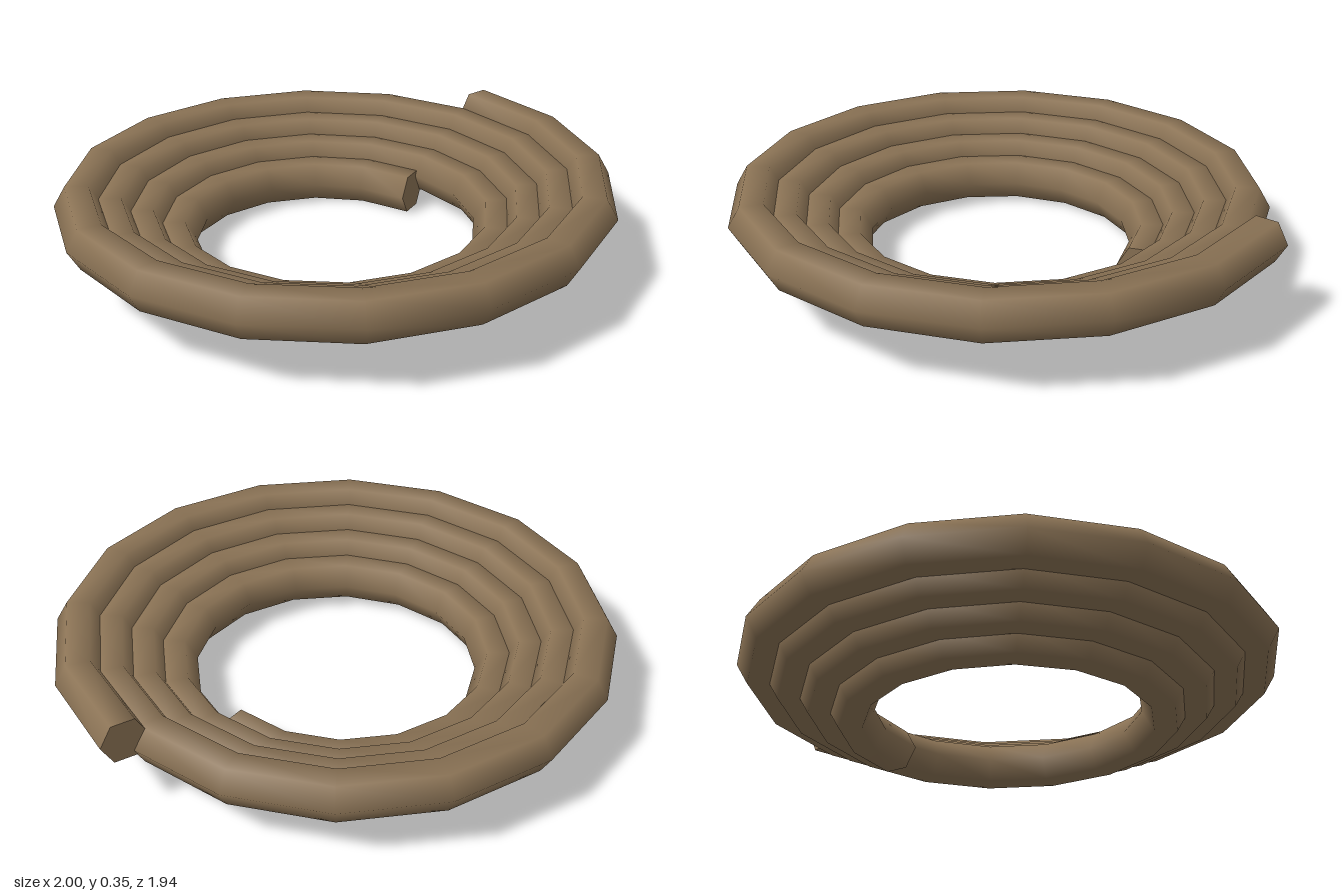
import * as THREE from 'three';

const TURNS = 4, PER_TURN = 16, SIDES = 6;
const STEPS = TURNS * PER_TURN;
const ROPE_R = 0.0825;                       // rope thickness (radius)
const START_R = 0.512, GROW = 0.108;         // coil radius and its growth per turn
const START_Y = ROPE_R * Math.sin(Math.PI / 3), RISE = 0.052;
const CENTRE = -GROW / 4;                    // shifts the spiral to the middle of its bounds

// Point on the rising, widening spiral at step i
function spiralPoint(i) {
  const turn = i / PER_TURN, a = turn * Math.PI * 2;
  const r = START_R + GROW * turn;
  return new THREE.Vector3(CENTRE + r * Math.cos(a), START_Y + RISE * turn, CENTRE - r * Math.sin(a));
}

// Six-sided cross-section, flat on top, square to the rope's direction
function ring(i) {
  const c = spiralPoint(i);
  const dir = spiralPoint(Math.min(i + 1, STEPS)).sub(spiralPoint(Math.max(i - 1, 0)));
  const out = new THREE.Vector3(-dir.z, 0, dir.x).normalize();
  const pts = [];
  for (let j = 0; j < SIDES; j++) {
    const a = (j / SIDES) * Math.PI * 2;
    const p = c.clone().addScaledVector(out, Math.cos(a) * ROPE_R);
    p.y += Math.sin(a) * ROPE_R;
    pts.push(p);
  }
  return pts;
}

function build(points, index) {
  const g = new THREE.BufferGeometry().setFromPoints(points);
  g.setIndex(index);
  g.computeVertexNormals();
  return g;
}

// Smooth rope skin joining every cross-section to the next
function ropeGeometry() {
  const points = [], index = [];
  for (let i = 0; i <= STEPS; i++) points.push(...ring(i));
  for (let i = 0; i < STEPS; i++) {
    for (let j = 0; j < SIDES; j++) {
      const a = i * SIDES + j, b = i * SIDES + (j + 1) % SIDES;
      index.push(a, a + SIDES, b, b, a + SIDES, b + SIDES);
    }
  }
  return build(points, index);
}

// Flat face closing one end of the rope
function capGeometry(i, flip) {
  const index = [];
  for (let j = 1; j < SIDES - 1; j++) index.push(0, flip ? j + 1 : j, flip ? j : j + 1);
  return build(ring(i), index);
}

export function createModel() {
  const group = new THREE.Group();
  group.name = 'ropeCoil';
  const ropeBrown = new THREE.MeshStandardMaterial({ color: 0x8b7355 });
  ropeBrown.name = 'rope brown';

  const add = (name, geometry) => {
    const mesh = new THREE.Mesh(geometry, ropeBrown);
    mesh.name = name;
    group.add(mesh);
  };
  add('coiledRope', ropeGeometry());
  add('innerEnd', capGeometry(0, false));
  add('outerEnd', capGeometry(STEPS, true));
  return group;
}
